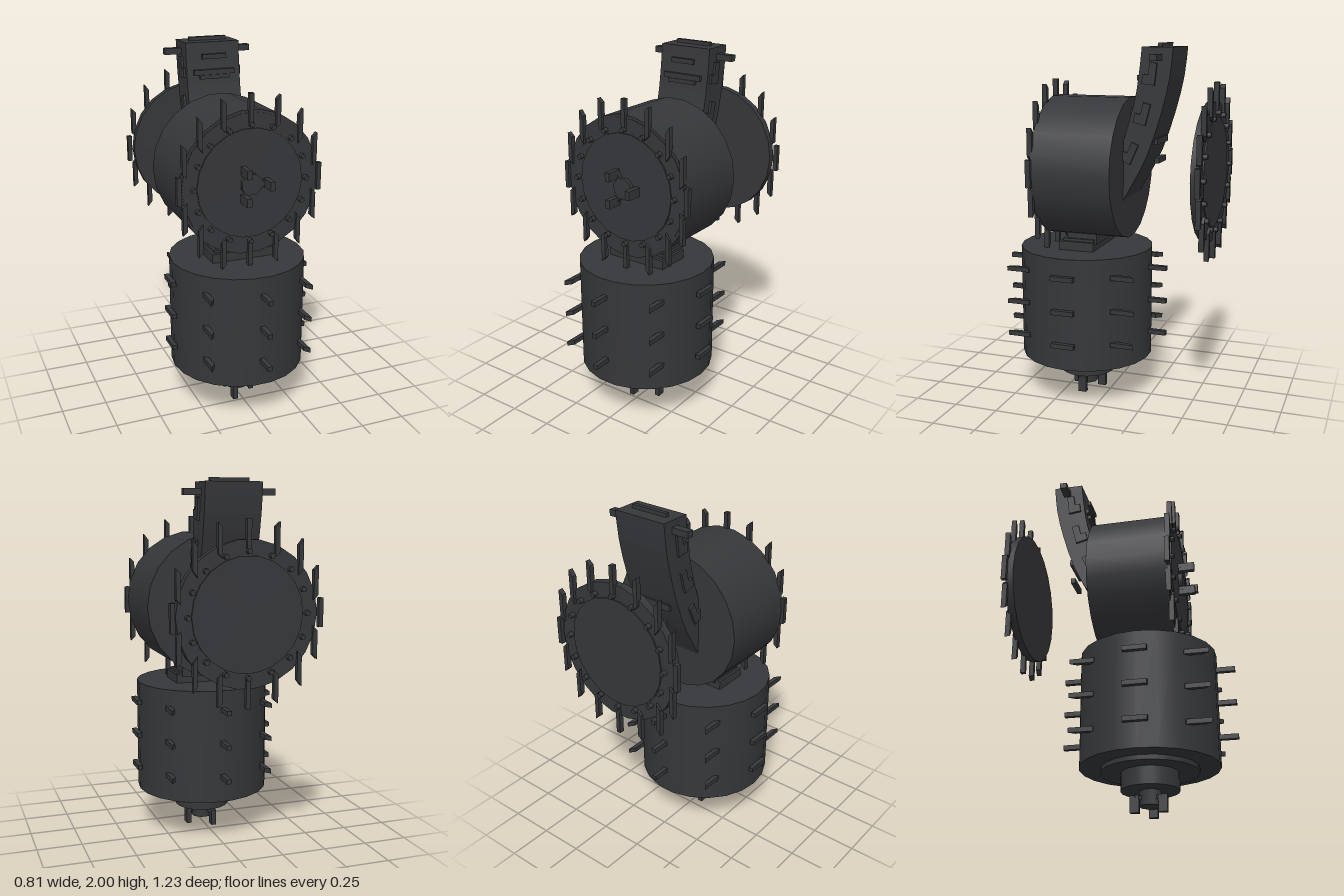
import * as THREE from 'three';

const dark = new THREE.MeshStandardMaterial({ color: 0x36373a });
const SIDES = 22;

function add(parent, name, geometry, x = 0, y = 0, z = 0) {
  const mesh = new THREE.Mesh(geometry, dark);
  mesh.name = name;
  mesh.position.set(x, y, z);
  parent.add(mesh);
  return mesh;
}

function group(parent, name, x = 0, y = 0, z = 0) {
  const g = new THREE.Group();
  g.name = name;
  g.position.set(x, y, z);
  parent.add(g);
  return g;
}

const box = (w, h, d) => new THREE.BoxGeometry(w, h, d);

// Cylinder along z from z0 to z1, with a flat facet on each axis
function disc(r, z0, z1, sides = SIDES) {
  return new THREE.CylinderGeometry(r, r, z1 - z0, sides, 1, false, Math.PI / sides)
    .rotateX(Math.PI / 2).translate(0, 0, (z0 + z1) / 2);
}

// Thin bar, long in y, with slanted ends that follow the rim at angle a
function blade(a, thick, length, depth) {
  const geo = box(thick, length, depth);
  const p = geo.attributes.position;
  for (let i = 0; i < p.count; i++) {
    p.setY(i, p.getY(i) + 1.3 * Math.sin(2 * a) * p.getX(i));
  }
  geo.computeVertexNormals();
  return geo;
}

// Round plate facing +z with a ring of blades and bolts
function rimPlate(parent, name) {
  const g = group(parent, name);
  add(g, 'plate', disc(0.375, 0, 0.043));
  add(g, 'plateCenter', disc(0.295, 0.04, 0.05));
  for (let i = 0; i < 16; i++) {
    const a = i * Math.PI / 8, c = Math.cos(a), s = Math.sin(a);
    add(g, 'rimBlade', blade(a, 0.024, 0.15, 0.028), 0.392 * c, 0.4 * s, 0.044);
    add(g, 'rimBolt', disc(0.014, 0.035, 0.07, 8), 0.315 * c, 0.315 * s, 0);
  }
  return g;
}

// Nut with three prongs, pointing to +z
function coupling(parent, name, nutDepth) {
  const g = group(parent, name);
  add(g, 'nut', disc(0.06, 0, nutDepth, 8));
  for (let i = 0; i < 3; i++) {
    const a = i * Math.PI * 2 / 3;
    add(g, 'prong', box(0.027, 0.048, 0.09),
      0.086 * Math.cos(a), 0.086 * Math.sin(a), 0.075);
    add(g, 'prongArm', box(0.09, 0.03, 0.02), 0.045 * Math.cos(a), 0.045 * Math.sin(a), 0.04)
      .rotation.z = a;
  }
  return g;
}

function buildLowerDrum(model) {
  const g = group(model, 'lowerDrum', 0, 0, 0.14);
  const layers = [
    ['lowerDrumBody', 0.375, 0.24, 0.87],
    ['bottomFlange', 0.262, 0.215, 0.24],
    ['bottomHub', 0.156, 0.12, 0.215],
  ];
  for (const [name, r, y0, y1] of layers) {
    add(g, name, disc(r, y0, y1).rotateX(-Math.PI / 2));
  }

  // Three rows of eight parallel pins
  for (const y of [0.385, 0.575, 0.765]) {
    for (let i = 0; i < 8; i++) {
      const a = i * Math.PI / 4;
      add(g, 'drumPin', blade(-a, 0.026, 0.13, 0.026).rotateX(-Math.PI / 2),
        0.39 * Math.cos(a), y, 0.408 * Math.sin(a));
    }
  }
  const foot = coupling(g, 'bottomCoupling', 0.08);
  foot.position.y = 0.12;
  foot.rotation.x = Math.PI / 2;
}

function buildUpperDrum(model) {
  const g = group(model, 'upperDrum', 0, 1.325, 0);
  add(g, 'upperDrumBody', disc(0.39, -0.127, 0.318));
  rimPlate(g, 'frontPlate').position.z = 0.278;
  coupling(g, 'frontCoupling', 0.05).position.z = 0.3;

  // Detached plate behind, facing backwards
  const back = rimPlate(g, 'backPlate');
  back.position.z = -0.547;
  back.rotation.y = Math.PI;
}

function buildJoint(model) {
  const g = group(model, 'joint');
  add(g, 'jointBase', box(0.36, 0.05, 0.2), 0, 0.895, 0.14);
  add(g, 'jointStep', box(0.33, 0.02, 0.18), 0, 0.925, 0.13);
  add(g, 'jointSaddle', box(0.3, 0.06, 0.17), 0, 0.935, 0.115);
}

function buildNeck(model) {
  const g = group(model, 'neck');
  const spline = pts => new THREE.SplineCurve(pts.map(p => new THREE.Vector2(...p))).getPoints(10);

  // Side profile as (z, y): outer curve up, inner curve down
  const outer = spline([[-0.1, 1.12], [-0.19, 1.28], [-0.26, 1.42], [-0.33, 1.63], [-0.375, 1.82], [-0.392, 1.98]]);
  const inner = spline([[-0.225, 1.98], [-0.21, 1.84], [-0.185, 1.69], [-0.127, 1.49], [-0.1, 1.42]]);
  const body = new THREE.ExtrudeGeometry(new THREE.Shape([...outer, ...inner]),
    { depth: 0.31, bevelEnabled: false });
  add(g, 'neckBody', body.rotateY(-Math.PI / 2).translate(0.155, 0, 0));
  add(g, 'topSlot', box(0.215, 0.03, 0.022), 0, 1.985, -0.31);

  // Side bars and stepped side plates
  for (const s of [-1, 1]) {
    add(g, 'sideBar', box(0.1, 0.034, 0.04), s * 0.2, 1.928, -0.313);
    for (const [y, z, tilt] of [[1.83, -0.292, 0.12], [1.62, -0.25, 0.25], [1.41, -0.175, 0.42]]) {
      const plate = group(g, 'sidePlate', s * 0.158, y, z);
      plate.rotation.x = -tilt;
      add(plate, 'plateUpper', box(0.02, 0.07, 0.04), 0, 0.035, 0.01);
      add(plate, 'plateLower', box(0.02, 0.05, 0.07), 0, -0.02, 0.025);
    }
  }

  // Trim bars across the front and the back: width, height, depth, y, z
  const trims = [
    ['frontTrim', 0.14, 0.026, 0.016, 1.905, -0.2],
    ['frontTrim', 0.235, 0.028, 0.025, 1.82, -0.202],
    ['frontTrim', 0.17, 0.022, 0.03, 1.795, -0.198],
    ['frontTrim', 0.235, 0.05, 0.02, 1.635, -0.165],
    ['frontTrim', 0.17, 0.02, 0.025, 1.605, -0.16],
    ['backTrim', 0.2, 0.035, 0.025, 1.485, -0.288],
    ['backTrim', 0.14, 0.03, 0.025, 1.38, -0.288],
  ];
  for (const [name, w, h, d, y, z] of trims) add(g, name, box(w, h, d), 0, y, z);
}

export function createModel() {
  const model = new THREE.Group();
  model.name = 'twinDrumMachine';
  buildLowerDrum(model);
  buildJoint(model);
  buildUpperDrum(model);
  buildNeck(model);
  return model;
}
